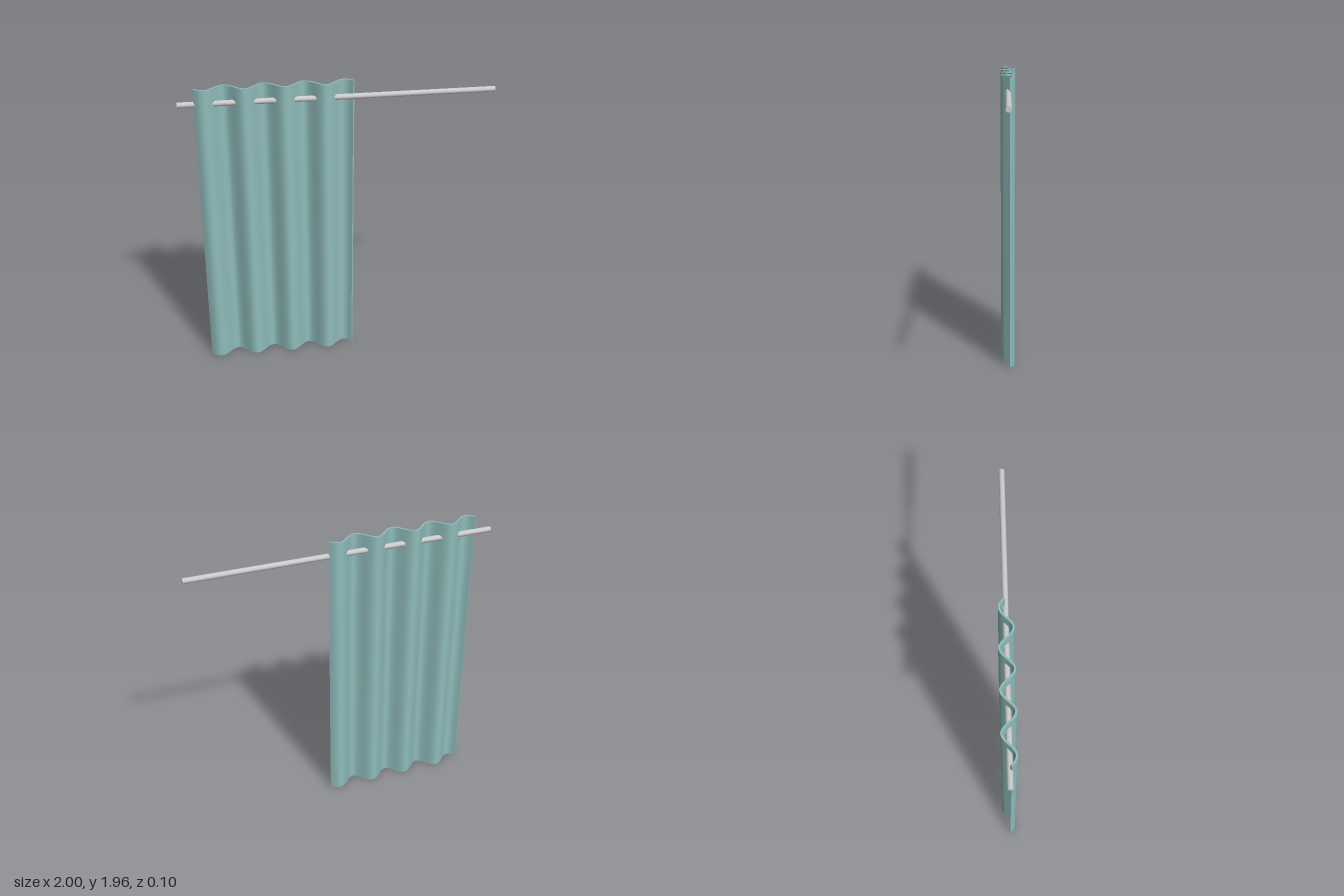
import * as THREE from 'three';
import { toCreasedNormals } from 'three/addons/utils/BufferGeometryUtils.js';

const HEIGHT = 1.955, LEFT = -0.898, RIGHT = 0.094;
const PERIOD = 0.25, THICKNESS = 0.013, STEPS = 96;

// Depth of the cloth's centre line at x; the first and last folds are a little shallower
function waveZ(x) {
  const depth = x < LEFT + PERIOD / 2 || x > RIGHT - PERIOD / 2 ? 0.039 : 0.043;
  return depth * Math.sin((2 * Math.PI * (x + 0.9)) / PERIOD);
}

// Wavy strip of constant thickness, extruded upward
function curtainGeometry() {
  const front = [], back = [];
  for (let i = 0; i <= STEPS; i++) {
    const x = LEFT + 0.003 + ((RIGHT - LEFT - 0.004) * i) / STEPS;
    const slope = (waveZ(x + 1e-3) - waveZ(x - 1e-3)) / 2e-3;
    const n = new THREE.Vector2(-slope, 1).normalize().multiplyScalar(THICKNESS / 2);
    front.push(new THREE.Vector2(x + n.x, -(waveZ(x) + n.y)));
    back.push(new THREE.Vector2(x - n.x, -(waveZ(x) - n.y)));
  }
  const outline = new THREE.Shape([...front, ...back.reverse()]);
  const geometry = new THREE.ExtrudeGeometry(outline, { depth: HEIGHT, bevelEnabled: false });
  geometry.rotateX(-Math.PI / 2);
  return toCreasedNormals(geometry, Math.PI / 4);
}

export function createModel() {
  const model = new THREE.Group();
  model.name = 'curtainOnRod';

  // Pleated cloth
  const curtain = new THREE.Mesh(curtainGeometry(), new THREE.MeshStandardMaterial({ color: 0x8fbcbb }));
  curtain.name = 'curtain';
  model.add(curtain);

  // Straight rod threaded through the folds
  const rod = new THREE.Mesh(
    new THREE.CylinderGeometry(0.018, 0.018, 2, 12).rotateZ(Math.PI / 2),
    new THREE.MeshStandardMaterial({ color: 0xcccccc }),
  );
  rod.name = 'rod';
  rod.position.set(0, 1.853, -0.001);
  model.add(rod);

  return model;
}
